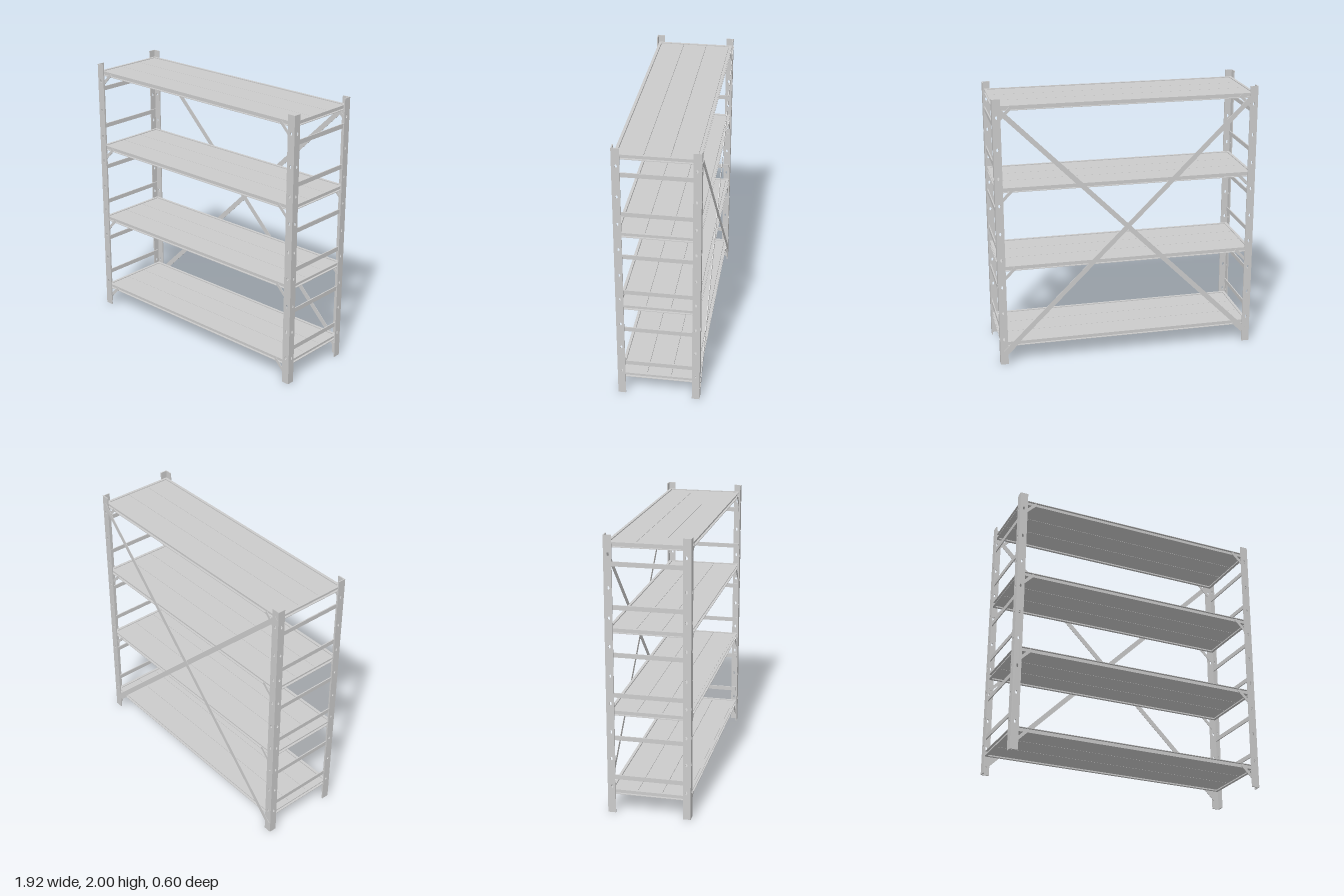
import * as THREE from 'three';

const material = new THREE.MeshStandardMaterial({ color: 0xcccccc, flatShading: true });

function add(parent, name, geometry, x = 0, y = 0, z = 0) {
  const mesh = new THREE.Mesh(geometry, material);
  mesh.name = name;
  mesh.position.set(x, y, z);
  parent.add(mesh);
  return mesh;
}
const box = (w, h, d) => new THREE.BoxGeometry(w, h, d);

// Punched plate standing on y = 0, centred on x and z
function punchedPlate(width, height, thickness, slots) {
  const shape = new THREE.Shape([
    new THREE.Vector2(-width / 2, 0), new THREE.Vector2(width / 2, 0),
    new THREE.Vector2(width / 2, height), new THREE.Vector2(-width / 2, height)]);
  for (const y of slots) {
    const hole = new THREE.Path();
    hole.absellipse(0, y, 0.008, 0.014, 0, Math.PI * 2, true);
    shape.holes.push(hole);
  }
  return new THREE.ExtrudeGeometry(shape, { depth: thickness, bevelEnabled: false, curveSegments: 4 })
    .translate(0, 0, -thickness / 2);
}

// C-section rail along x, its open side facing +z
function channel(length) {
  const h = 0.0175, d = 0.02, t = 0.004;
  const profile = [[0, -h], [d, -h], [d, -h + t], [t, -h + t], [t, h - t], [d, h - t], [d, h], [0, h]];
  const shape = new THREE.Shape(profile.map(([x, y]) => new THREE.Vector2(x, y)));
  return new THREE.ExtrudeGeometry(shape, { depth: length, bevelEnabled: false })
    .translate(0, 0, -length / 2).rotateY(-Math.PI / 2);
}

// Flat bar between two points in the xy plane
function flatBar(parent, name, x1, y1, x2, y2, z, width, thickness) {
  const bar = add(parent, name, box(Math.hypot(x2 - x1, y2 - y1), width, thickness),
    (x1 + x2) / 2, (y1 + y2) / 2, z);
  bar.rotation.z = Math.atan2(y2 - y1, x2 - x1);
}

export function createModel() {
  const rack = new THREE.Group();
  rack.name = 'shelvingRack';
  const sides = [-1, 1];
  const shelfHeights = [0.155, 0.748, 1.34, 1.932];
  const rungHeights = [0.27, 0.565, 0.88, 1.17, 1.505, 1.803];
  const slots = [0.2, 0.41, 0.61, 0.82, 1.02, 1.23, 1.43, 1.64, 1.87];

  // Four punched angle posts
  for (const sx of sides) {
    for (const sz of sides) {
      const post = new THREE.Group();
      post.name = 'cornerPost';
      rack.add(post);
      add(post, 'postFaceFlange', punchedPlate(0.058, 2, 0.008, slots), sx * 0.931, 0, sz * 0.293);
      add(post, 'postSideFlange', punchedPlate(0.048, 2, 0.008, slots), sx * 0.956, 0, sz * 0.265)
        .rotation.y = Math.PI / 2;
    }
  }

  // Shelves: channel frame, three planks and corner struts
  for (const y of shelfHeights) {
    const shelf = new THREE.Group();
    shelf.name = 'shelf';
    shelf.position.y = y;
    rack.add(shelf);
    for (const i of [-1, 0, 1]) {
      add(shelf, 'plank', box(1.85, 0.022, 0.173), 0, 0.002, i * 0.1755);
    }
    for (const s of sides) {
      add(shelf, 'longRail', channel(1.89), 0, 0, s * 0.265).rotation.y = s > 0 ? 0 : Math.PI;
      add(shelf, 'endRail', channel(0.57), s * 0.926, 0, 0).rotation.y = s * Math.PI / 2;
      for (const sz of sides) {
        flatBar(shelf, 'cornerStrut', s * 0.925, -0.092, s * 0.83, 0.003, sz * 0.2865, 0.022, 0.004);
      }
    }
  }

  // Ladder rungs on both ends
  for (const s of sides) {
    for (const y of rungHeights) {
      add(rack, 'endRung', box(0.008, 0.032, 0.56), s * 0.948, y, 0);
    }
  }

  // Crossed braces on the back
  flatBar(rack, 'backBrace', -0.94, 1.945, 0.94, 0.075, -0.2983, 0.036, 0.003);
  flatBar(rack, 'backBrace', -0.94, 0.075, 0.94, 1.945, -0.3, 0.036, 0.003);

  return rack;
}
